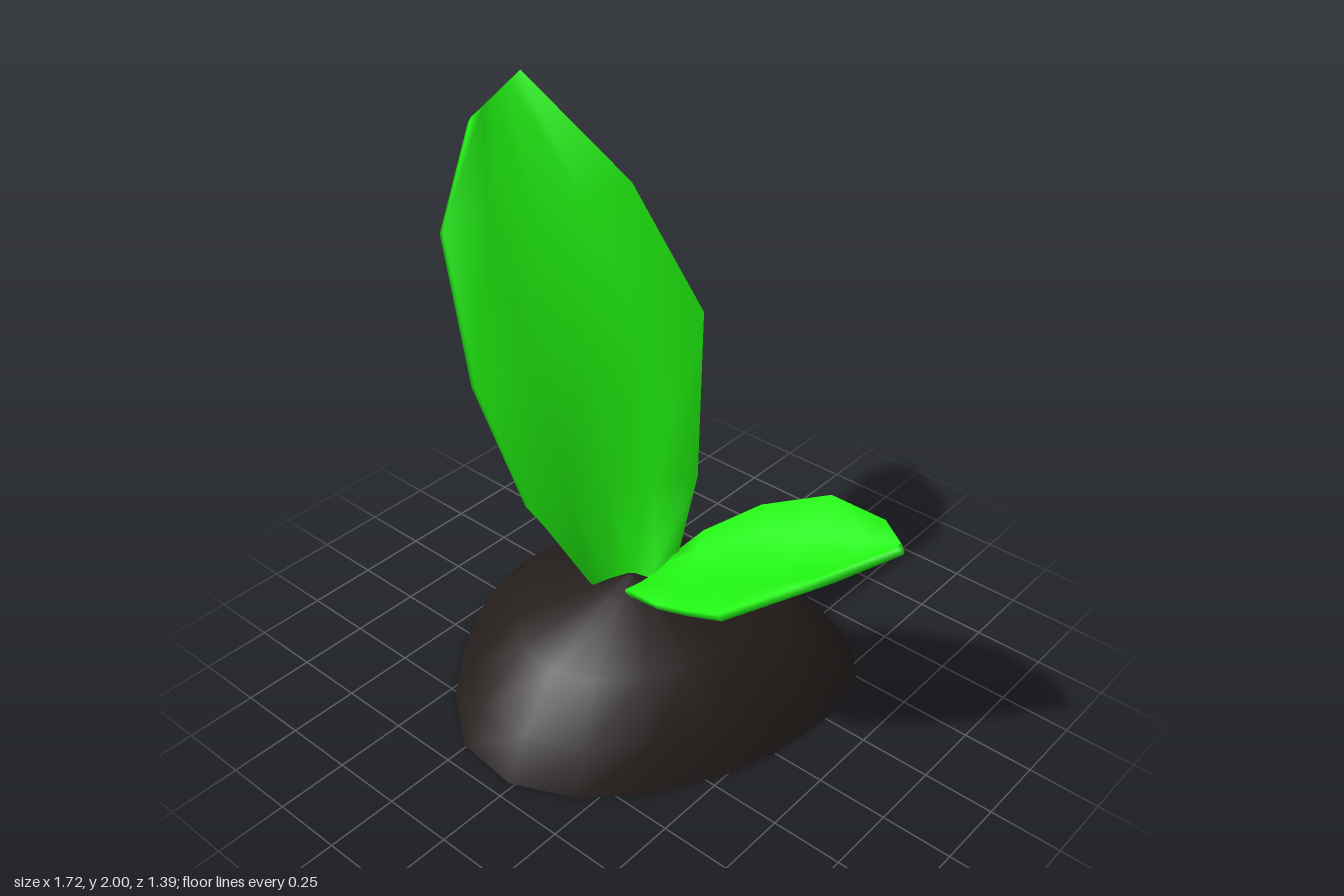
import * as THREE from 'three';

const V = (p) => new THREE.Vector3(...p);

// Skin a list of equal-length rings (clockwise seen from the far end), with optional end caps
function loft(rings, capStart, capEnd) {
  const n = rings[0].length, last = (rings.length - 1) * n, index = [];
  for (let i = 0; i < rings.length - 1; i++) {
    for (let j = 0; j < n; j++) {
      const a = i * n + j, b = i * n + (j + 1) % n;
      index.push(a, a + n, b, b, a + n, b + n);
    }
  }
  for (let k = 1; k < n - 1; k++) {
    if (capStart) index.push(0, k, k + 1);
    if (capEnd) index.push(last, last + k + 1, last + k);
  }
  const geometry = new THREE.BufferGeometry().setFromPoints(rings.flat());
  geometry.setIndex(index);
  geometry.computeVertexNormals();
  return geometry;
}

// Cupped leaf between two edge lines; each station is [edgeA, edgeB]
function leafGeometry(stations, cup, thickness) {
  const pairs = stations.map(([a, b]) => [V(a), V(b)]);
  const mids = pairs.map(([a, b]) => a.clone().lerp(b, 0.5));
  const steps = 4;
  const rings = pairs.map(([a, b], i) => {
    const along = mids[Math.min(i + 1, mids.length - 1)].clone().sub(mids[Math.max(i - 1, 0)]);
    const across = b.clone().sub(a);
    const up = along.cross(across).normalize();
    const depth = cup * Math.min(1, across.length() / 0.5);
    const upper = [], lower = [];
    for (let j = 0; j <= steps; j++) {
      const t = j / steps, arch = Math.sin(Math.PI * t);
      const p = a.clone().lerp(b, t);
      const half = thickness * (0.35 + 0.25 * arch);
      upper.push(p.clone().addScaledVector(up, half - depth * arch));
      lower.unshift(p.clone().addScaledVector(up, -half - depth * arch));
    }
    return [...upper, ...lower];
  });
  return loft(rings, true, true);
}

export function createModel() {
  const group = new THREE.Group();
  const soil = new THREE.MeshStandardMaterial({ color: 0x231d1b, side: THREE.DoubleSide });
  const green = new THREE.MeshStandardMaterial({ color: 0x20f010 });
  const add = (name, geometry, material) => {
    const mesh = new THREE.Mesh(geometry, material);
    mesh.name = name;
    group.add(mesh);
  };

  // Hollow soil mound: an irregular outline shrunk level by level
  const outline = [
    [0.23, -0.70], [0.44, -0.625], [0.56, -0.48], [0.59, -0.25], [0.56, 0], [0.50, 0.18],
    [0.37, 0.41], [0.20, 0.59], [-0.02, 0.69], [-0.26, 0.665], [-0.46, 0.52], [-0.625, 0.32],
    [-0.72, 0.17], [-0.77, -0.05], [-0.70, -0.28], [-0.57, -0.48], [-0.33, -0.62], [-0.04, -0.70],
  ];
  const levels = [[0, 1], [0.14, 0.89], [0.315, 0.635], [0.41, 0.16], [0.435, 0.02]];
  const moundRings = levels.map(([y, s]) =>
    outline.map(([x, z]) => new THREE.Vector3(-0.09 + (x + 0.09) * s, y, z * s)));
  add('soilMound', loft(moundRings, false, true), soil);

  // Tall leaf leaning to -x, blunt at the tip
  add('tallLeaf', leafGeometry([
    [[0.01, 0.36, -0.05], [-0.15, 0.34, 0.04]],
    [[0.02, 0.45, -0.10], [-0.20, 0.41, 0.09]],
    [[-0.05, 0.72, -0.29], [-0.29, 0.77, 0.28]],
    [[-0.19, 1.23, -0.48], [-0.49, 1.17, 0.305]],
    [[-0.45, 1.65, -0.41], [-0.71, 1.61, 0.20]],
    [[-0.82, 1.98, -0.28], [-0.83, 1.88, -0.06]],
  ], 0.07, 0.07), green);

  // Short leaf leaning to +x, narrowing to a point
  add('shortLeaf', leafGeometry([
    [[-0.07, 0.36, 0.05], [-0.02, 0.38, -0.06]],
    [[-0.03, 0.43, 0.08], [0.02, 0.50, -0.13]],
    [[0.12, 0.47, 0.11], [0.08, 0.58, -0.20]],
    [[0.28, 0.55, 0.145], [0.26, 0.73, -0.28]],
    [[0.435, 0.63, 0.17], [0.50, 0.855, -0.33]],
    [[0.66, 0.78, 0.02], [0.74, 0.90, -0.275]],
    [[0.845, 0.89, -0.19], [0.84, 0.90, -0.21]],
  ], 0.06, 0.045), green);

  return group;
}
